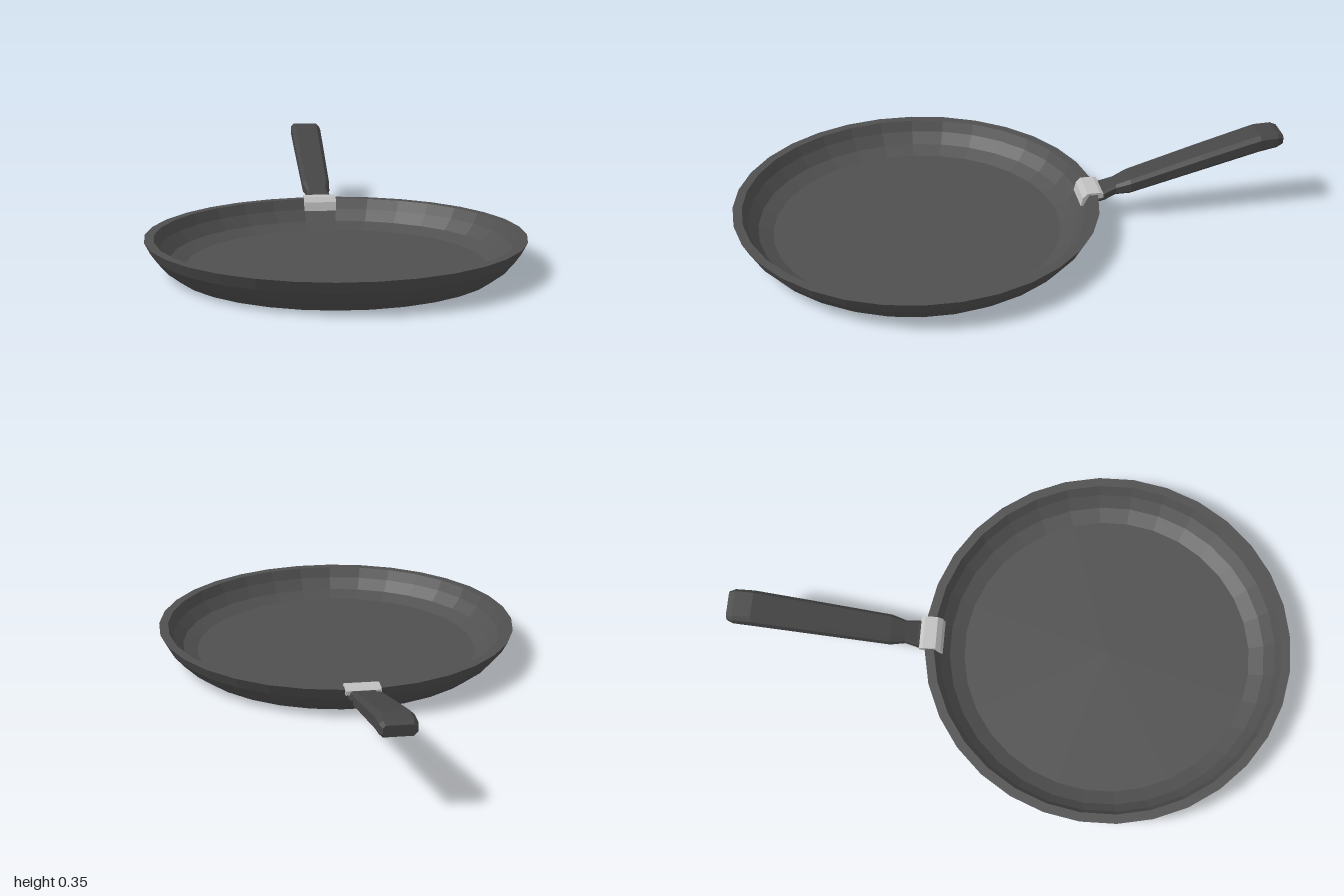
import * as THREE from 'three';

const panMat = new THREE.MeshStandardMaterial({ name: 'dark iron', color: 0x505050, flatShading: true });
const gripMat = new THREE.MeshStandardMaterial({ name: 'handle grey', color: 0x464646, flatShading: true });
const steelMat = new THREE.MeshStandardMaterial({ name: 'light steel', color: 0xc0c0c0, flatShading: true });

// Closed loft along +z through chamfered rectangles: [z, centre y, half width, half height]
function loft(rings) {
  const pos = [], idx = [], n = 8;
  for (const [z, y, w, h] of rings) {
    const c = Math.min(w, h) * 0.45;
    const section = [
      [w, -h + c], [w, h - c], [w - c, h], [-w + c, h],
      [-w, h - c], [-w, -h + c], [-w + c, -h], [w - c, -h],
    ];
    for (const [sx, sy] of section) pos.push(sx, y + sy, z);
  }
  for (let r = 0; r < rings.length - 1; r++) {
    for (let i = 0; i < n; i++) {
      const a = r * n + i, b = r * n + (i + 1) % n;
      idx.push(a, b, b + n, a, b + n, a + n);
    }
  }
  const last = (rings.length - 1) * n;
  for (let i = 1; i < n - 1; i++) {
    idx.push(0, i + 1, i);
    idx.push(last, last + i, last + i + 1);
  }
  const g = new THREE.BufferGeometry();
  g.setAttribute('position', new THREE.Float32BufferAttribute(pos, 3));
  g.setIndex(idx);
  g.computeVertexNormals();
  return g;
}

function addMesh(parent, name, geometry, material) {
  const mesh = new THREE.Mesh(geometry, material);
  mesh.name = name;
  parent.add(mesh);
  return mesh;
}

export function createModel() {
  const model = new THREE.Group();
  model.name = 'fryingPan';

  // Everything is built around the pan's axis, with the handle along local +z
  const pan = new THREE.Group();
  pan.name = 'panAssembly';
  pan.position.set(0.133, 0, 0.237);
  model.add(pan);

  // Dish: outer wall, flat rim, inner wall, floor
  const profile = [
    [0, 0], [0.645, 0], [0.695, 0.038], [0.735, 0.085], [0.76, 0.133],
    [0.722, 0.133], [0.7, 0.09], [0.66, 0.045], [0.6, 0.018], [0, 0.018],
  ].map(([x, y]) => new THREE.Vector2(x, y));
  addMesh(pan, 'dish', new THREE.LatheGeometry(profile, 32), panMat);

  const handle = new THREE.Group();
  handle.name = 'handleAssembly';
  handle.rotation.y = Math.atan2(-0.634, -0.773);
  pan.add(handle);

  // Grip with a pinched neck and rounded end
  addMesh(handle, 'handle', loft([
    [0.735, 0.103, 0.055, 0.025],
    [0.79, 0.114, 0.055, 0.023],
    [0.84, 0.132, 0.046, 0.023],
    [0.9, 0.148, 0.06, 0.032],
    [1.2, 0.235, 0.065, 0.037],
    [1.45, 0.306, 0.069, 0.039],
    [1.525, 0.315, 0.068, 0.031],
    [1.55, 0.316, 0.058, 0.021],
  ]), gripMat);

  // Steel clip folded over the rim
  const clip = new THREE.Shape([
    [0.684, 0.085], [0.7, 0.085], [0.722, 0.128], [0.762, 0.128], [0.76, 0.115],
    [0.78, 0.118], [0.78, 0.136], [0.765, 0.142], [0.712, 0.142], [0.692, 0.122],
  ].map(([x, y]) => new THREE.Vector2(x, y)));
  const clipGeo = new THREE.ExtrudeGeometry(clip, { depth: 0.14, bevelEnabled: false });
  clipGeo.rotateY(-Math.PI / 2).translate(0.07, 0, 0);
  addMesh(handle, 'rimClip', clipGeo, steelMat);

  return model;
}
